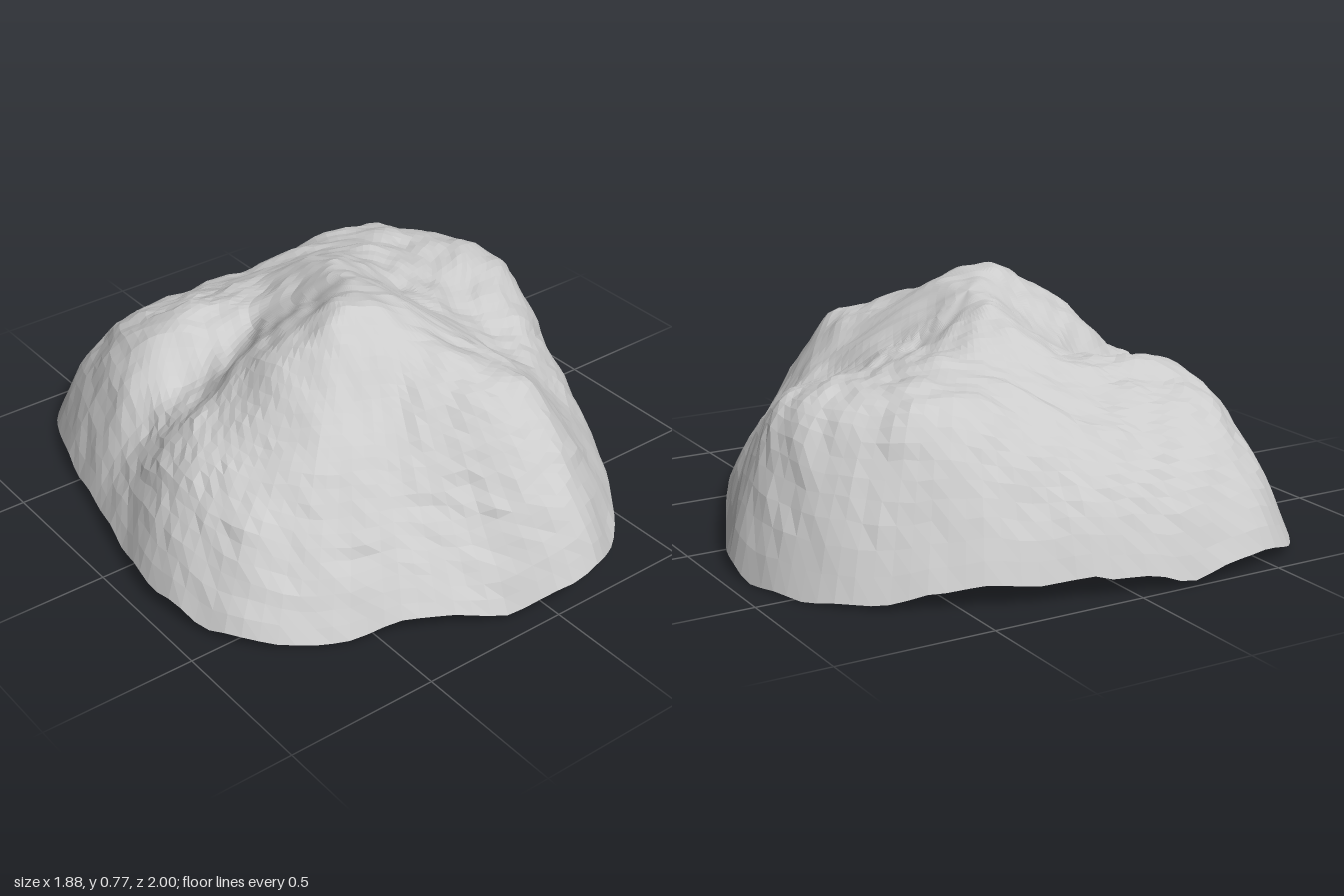
import * as THREE from 'three';

// Rim of the rock: x, y, z running round from the front tip
const RIM = [
  [0.11, 0.11, 1], [0.3, 0.08, 0.91], [0.43, 0.07, 0.79], [0.58, 0.09, 0.58], [0.72, 0.09, 0.33],
  [0.85, 0.04, 0.05], [0.93, 0.04, -0.16], [0.935, 0.02, -0.32], [0.85, 0.01, -0.56], [0.7, 0.03, -0.71],
  [0.45, 0.07, -0.84], [0.1, 0.07, -0.95], [-0.18, 0.04, -1], [-0.4, 0.06, -0.99], [-0.55, 0.05, -0.95],
  [-0.66, 0.03, -0.86], [-0.77, 0.06, -0.6], [-0.84, 0.05, -0.3], [-0.91, 0.07, 0], [-0.94, 0.06, 0.2],
  [-0.89, 0.04, 0.45], [-0.81, 0.03, 0.57], [-0.68, 0.01, 0.67], [-0.4, 0.06, 0.8], [-0.16, 0.04, 0.92],
];

// Coarse heights of the top: rows z = -0.8..0.8, columns x = -0.8..0.8
const HEIGHTS = [
  [.41, .43, .43, .43, .43, .44, .46, .44, .42],
  [.43, .48, .49, .48, .49, .53, .56, .53, .50],
  [.42, .50, .56, .57, .60, .60, .58, .56, .54],
  [.34, .39, .47, .58, .70, .64, .57, .56, .56],
  [.42, .47, .61, .70, .73, .60, .52, .51, .53],
  [.43, .47, .66, .77, .74, .60, .45, .44, .46],
  [.39, .43, .53, .61, .66, .58, .42, .37, .38],
  [.30, .31, .36, .43, .57, .57, .38, .33, .33],
  [.28, .28, .28, .29, .39, .47, .34, .31, .31],
];

// Smooth sampling between the coarse heights
function spline(v, t) {
  const i = Math.min(Math.floor(t), v.length - 2), f = t - i;
  const a = v[Math.max(i - 1, 0)], b = v[i], c = v[i + 1], d = v[Math.min(i + 2, v.length - 1)];
  return b + 0.5 * f * (c - a + f * (2 * a - 5 * b + 4 * c - d + f * (3 * (b - c) + d - a)));
}
function topHeight(x, z) {
  const u = THREE.MathUtils.clamp((x + 0.8) * 5, 0, 8);
  const w = THREE.MathUtils.clamp((z + 0.8) * 5, 0, 8);
  return spline(HEIGHTS.map(row => spline(row, u)), w);
}

// Warped waves that give weathered bumps
function roughness(x, z) {
  const a = x + 0.07 * Math.sin(9 * z + 1), b = z + 0.07 * Math.sin(8 * x + 2);
  return 0.007 * Math.sin(13 * a + 5 * b) * Math.sin(12 * b - 4 * a + 1)
    + 0.005 * (1 - 2 * Math.abs(Math.sin(9 * a - 7 * b + 2 * Math.sin(6 * b))))
    + 0.008 * Math.sin(24 * a + 11 * b) * Math.sin(22 * b - 9 * a)
    + 0.005 * Math.sin(47 * a - 15 * b) * Math.sin(43 * b + 13 * a);
}

// Open shell built from rings that shrink from the rim to the middle
function shellGeometry(sides, rings) {
  const curve = new THREE.CatmullRomCurve3(RIM.map(p => new THREE.Vector3(...p)), true);
  const rim = curve.getSpacedPoints(sides).slice(0, sides);
  const pos = [0, topHeight(0, 0) + roughness(0, 0), 0], index = [];
  for (let r = 1; r <= rings; r++) {
    const t = Math.pow(r / rings, 0.85);
    const s = Math.max(0, (t - 0.6) / 0.4);
    const rise = 1 - Math.pow(s, 2.7);
    rim.forEach((p, i) => {
      const x = p.x * t, z = p.z * t;
      const edge = p.y + 0.012 * Math.sin(i * 1.1) * Math.sin(i * 0.37);
      const y = edge + (topHeight(x, z) - edge) * rise + roughness(x, z) * (1 - 0.6 * s);
      // ledges push the flanks in and out
      const push = 1 + 3.6 * s * (1 - s) * roughness(x + y, z - y);
      pos.push(x * push, Math.max(0, y), z * push);
      const j = (i + 1) % sides, out = 1 + (r - 1) * sides, inn = out - sides;
      if (r === 1) index.push(0, out + i, out + j);
      else index.push(inn + i, out + i, out + j, inn + i, out + j, inn + j);
    });
  }
  const geo = new THREE.BufferGeometry();
  geo.setAttribute('position', new THREE.Float32BufferAttribute(pos, 3));
  geo.setIndex(index);
  geo.computeVertexNormals();
  return geo;
}

export function createModel() {
  const group = new THREE.Group();
  group.name = 'rock';
  const material = new THREE.MeshStandardMaterial({
    color: 0xcccccc, flatShading: true, side: THREE.DoubleSide,
  });
  const shell = new THREE.Mesh(shellGeometry(112, 32), material);
  shell.name = 'rockShell';
  group.add(shell);
  return group;
}
